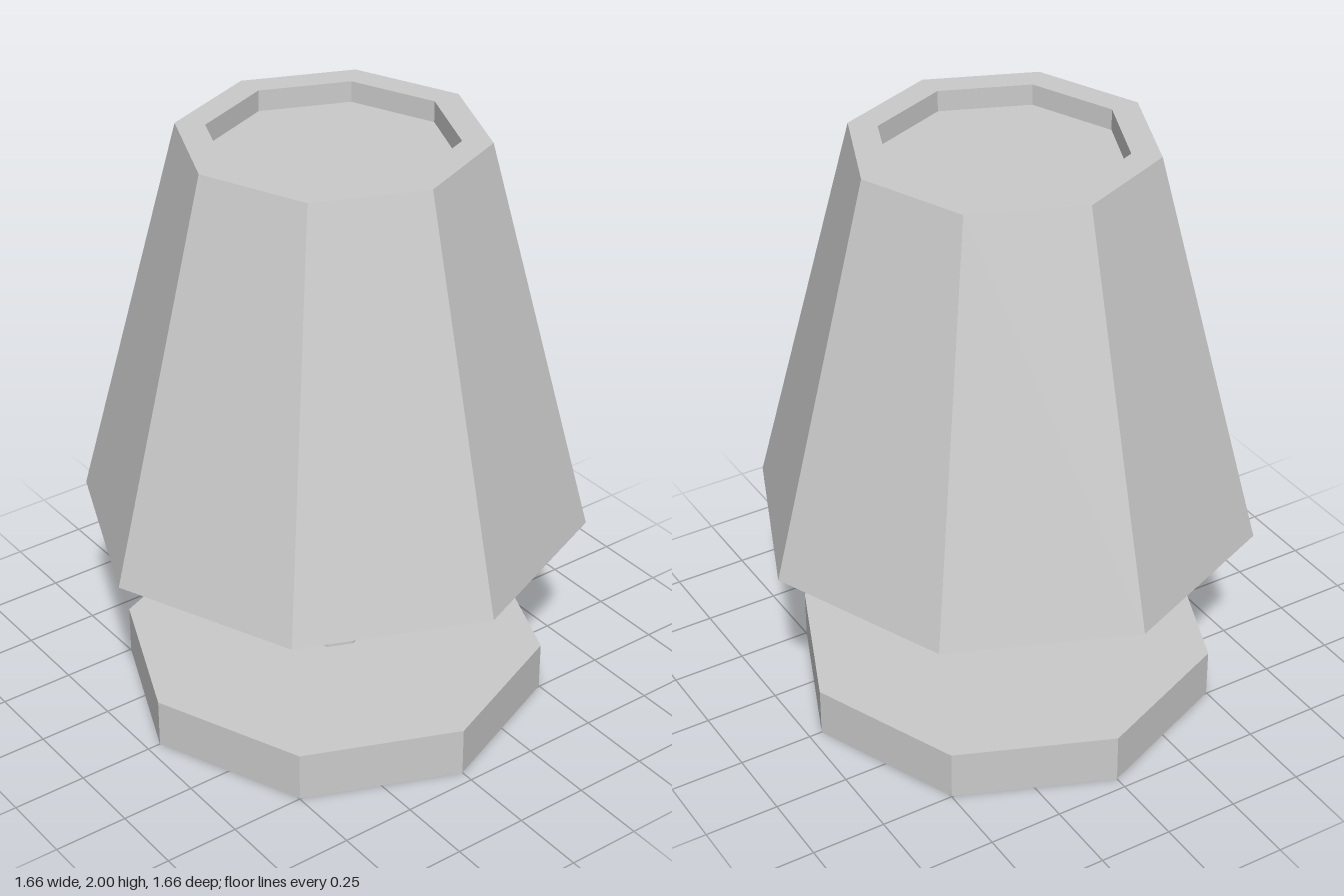
import * as THREE from 'three';

const SIDES = 8;

// Revolves a [radius, height] profile into a faceted octagonal solid.
function octagonal(name, profile, material) {
  const points = profile.map(([r, y]) => new THREE.Vector2(r, y));
  const geometry = new THREE.LatheGeometry(points, SIDES).toNonIndexed();
  geometry.computeVertexNormals();
  const mesh = new THREE.Mesh(geometry, material);
  mesh.name = name;
  return mesh;
}

export function createModel() {
  const grey = new THREE.MeshStandardMaterial({ color: 0xcccccc, flatShading: true });
  const lamp = new THREE.Group();
  lamp.name = 'tableLamp';

  // Flat foot
  lamp.add(octagonal('base', [[0, 0], [0.705, 0], [0.705, 0.17], [0, 0.17]], grey));

  // Stem, running up to the recessed underside of the shade
  lamp.add(octagonal('stem', [[0.115, 0.17], [0.115, 0.835]], grey));

  // Tapered shade with a recess below and a shallow one on top
  lamp.add(octagonal('shade', [
    [0, 0.835], [0.665, 0.835], [0.74, 0.675],
    [0.83, 0.675], [0.487, 2],
    [0.392, 2], [0.392, 1.93], [0, 1.93],
  ], grey));

  return lamp;
}
